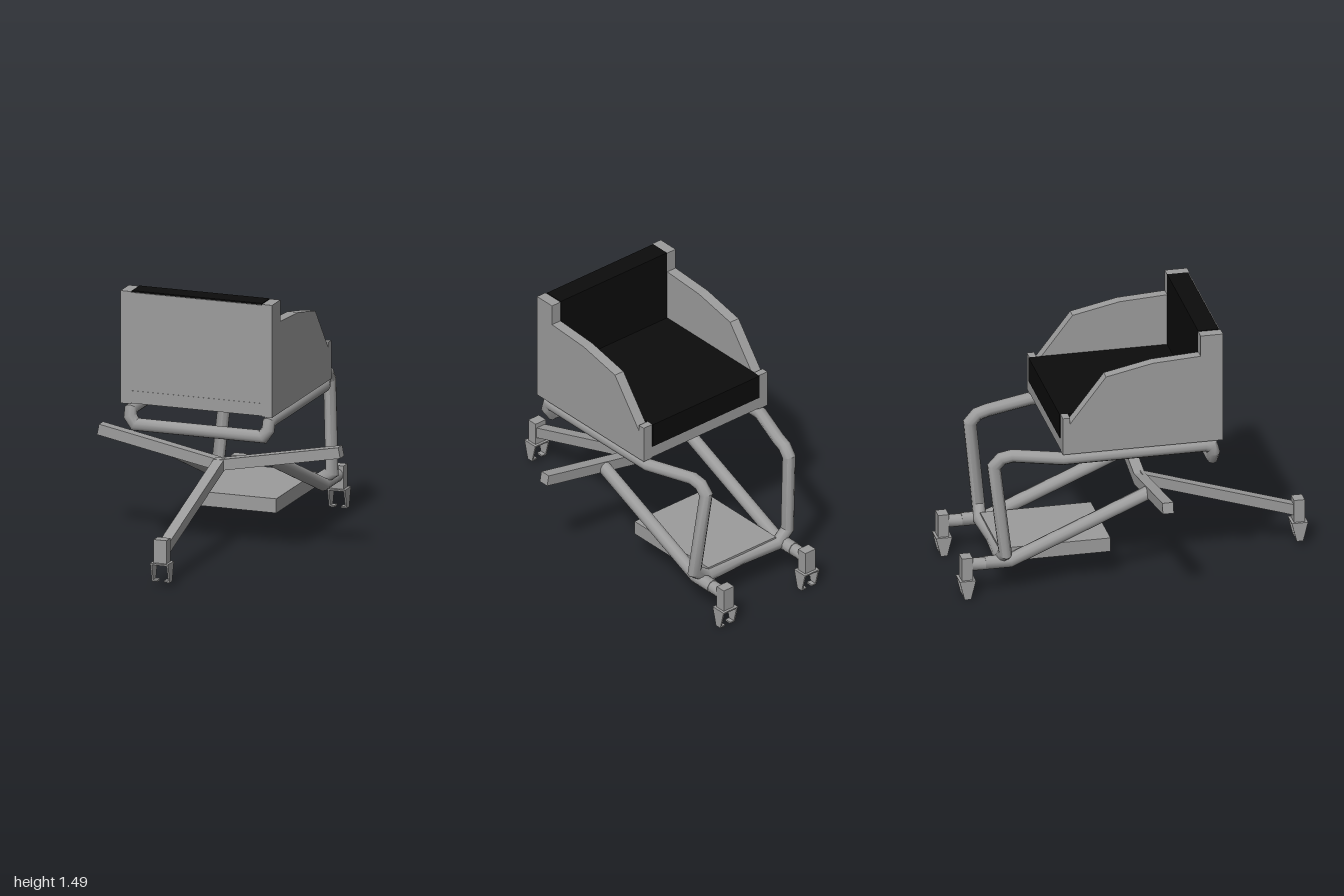
import * as THREE from 'three';
import { toCreasedNormals } from 'three/addons/utils/BufferGeometryUtils.js';

const V = (x, y, z) => new THREE.Vector3(x, y, z);

// Mitred bar along a polyline; sides = 4 gives a square bar, more gives a pipe
function sweep(pts, radius, sides, closed = false) {
  const n = pts.length, dir = (i) => pts[(i + 1) % n].clone().sub(pts[i % n]).normalize();
  const d0 = dir(0);
  const up = Math.abs(d0.y) > 0.9 ? V(0, 0, 1) : V(0, 1, 0);
  const a = V(0, 0, 0).crossVectors(up, d0).normalize();
  const b = V(0, 0, 0).crossVectors(d0, a);
  let ring = [];
  for (let s = 0; s < sides; s++) {
    const t = ((s + 0.5) / sides) * Math.PI * 2;
    const p = pts[0].clone().addScaledVector(a, Math.cos(t) * radius).addScaledVector(b, Math.sin(t) * radius);
    ring.push(p);
  }
  const pos = [], idx = [];
  if (closed) {
    ring = ring.map((p) => p);
  }
  ring.forEach((p) => pos.push(p.x, p.y, p.z));
  const last = closed ? n : n - 1;
  for (let i = 1; i <= last; i++) {
    const P = pts[i % n], d = dir(i - 1);
    const nrm = i === last ? d.clone() : d.clone().add(dir(i)).normalize();
    ring = ring.map((p) => p.clone().addScaledVector(d, P.clone().sub(p).dot(nrm) / d.dot(nrm)));
    ring.forEach((p) => pos.push(p.x, p.y, p.z));
    for (let s = 0; s < sides; s++) {
      const q = (s + 1) % sides, r0 = (i - 1) * sides, r1 = i * sides;
      idx.push(r0 + s, r0 + q, r1 + q, r0 + s, r1 + q, r1 + s);
    }
  }
  if (!closed) {
    const e = last * sides;
    for (let s = 1; s < sides - 1; s++) idx.push(0, s + 1, s, e, e + s, e + s + 1);
  }
  const g = new THREE.BufferGeometry();
  g.setAttribute('position', new THREE.Float32BufferAttribute(pos, 3));
  g.setIndex(idx);
  return toCreasedNormals(g, 0.8);
}

const shapeOf = (pts) => new THREE.Shape(pts.map(([x, y]) => new THREE.Vector2(x, y)));

// Open-bottomed clamp, tapering in depth toward the ground
function clampGeometry() {
  const g = new THREE.ExtrudeGeometry(shapeOf([
    [-0.052, 0.108], [-0.052, 0], [-0.018, 0], [-0.018, 0.01], [-0.043, 0.01], [-0.043, 0.098],
    [0.043, 0.098], [0.043, 0.01], [0.018, 0.01], [0.018, 0], [0.052, 0], [0.052, 0.108],
  ]), { depth: 0.09, bevelEnabled: false });
  g.translate(0, 0, -0.045);
  const p = g.attributes.position;
  for (let i = 0; i < p.count; i++) p.setZ(i, p.getZ(i) * (0.4 + 0.6 * (p.getY(i) / 0.108)));
  g.computeVertexNormals();
  return g;
}

export function createModel() {
  const group = new THREE.Group();
  const grey = new THREE.MeshStandardMaterial({ color: 0x9c9c9c });
  grey.name = 'greyMetal';
  const black = new THREE.MeshStandardMaterial({ color: 0x0c0c0c });
  black.name = 'blackPadding';

  const add = (name, geo, mat = grey) => {
    const m = new THREE.Mesh(geo, mat);
    m.name = name;
    group.add(m);
    return m;
  };
  // Box given by its min and max corners
  const box = (name, x0, x1, y0, y1, z0, z1, mat) =>
    add(name, new THREE.BoxGeometry(x1 - x0, y1 - y0, z1 - z0), mat)
      .position.set((x0 + x1) / 2, (y0 + y1) / 2, (z0 + z1) / 2);

  // Seat shell and padding
  box('seatPan', -0.38, 0.38, 0.86, 0.93, -0.45, 0.44);
  box('backPanel', -0.38, 0.38, 0.93, 1.48, 0.43, 0.438);
  box('seatCushion', -0.38, 0.38, 0.93, 1.07, -0.455, 0.32, black);
  box('backCushion', -0.378, 0.378, 0.93, 1.488, 0.315, 0.43, black);
  const side = shapeOf([
    [0.44, 0.855], [0.44, 1.485], [0.315, 1.485], [0.315, 1.365], [0.05, 1.35], [-0.21, 1.295],
    [-0.41, 1.035], [-0.41, 1.07], [-0.45, 1.07], [-0.45, 0.855],
  ]);
  for (const x of [0.44, -0.38]) {
    const g = new THREE.ExtrudeGeometry(side, { depth: 0.06, bevelEnabled: false });
    g.rotateY(-Math.PI / 2);
    add('sidePanel', g).position.x = x;
  }

  // One continuous bent pipe: front bar, side rails, rear posts, foot bar
  const half = [
    V(0.37, 0.732, 0.395), V(0.40, 0.775, 0.395), V(0.40, 0.81, 0.385), V(0.40, 0.815, 0.35),
    V(0.40, 0.815, -0.44), V(0.305, 0.815, -0.70), V(0.298, 0.80, -0.76), V(0.295, 0.755, -0.80),
    V(0.33, 0.25, -0.745), V(0.25, 0.195, -0.755),
  ];
  const mirrored = half.map((p) => V(-p.x, p.y, p.z)).reverse();
  add('tubeFrame', sweep([V(0, 0.732, 0.395), ...half, V(0, 0.195, -0.742), ...mirrored], 0.036, 10, true));

  // Crossbar wings and front leg
  for (const s of [1, -1]) add('wing', sweep([V(0, 0.465, 0.075), V(s * 0.7, 0.6, 0.075)], 0.043, 4));
  add('frontLeg', sweep([V(0, 0.475, 0.075), V(0, 0.2, 0.94)], 0.042, 4));

  // Lower rails running to the rear feet
  for (const s of [1, -1]) {
    const x = s * 0.29;
    add('lowerRail', sweep([V(x, 0.515, 0.06), V(x, 0.187, -0.71), V(x, 0.187, -0.85)], 0.038, 10));
    add('rearFootBar', sweep([V(x, 0.185, -0.84), V(x, 0.185, -0.95)], 0.036, 10));
  }
  box('footPlate', -0.24, 0.24, 0.16, 0.24, -0.755, -0.14);

  // Feet: a short post above an open clamp
  const clamp = clampGeometry();
  for (const [x, y, z] of [[0, 0.025, 0.955], [0.29, 0, -0.955], [-0.29, 0, -0.955]]) {
    box('footPost', x - 0.037, x + 0.037, y + 0.105, y + 0.238, z - 0.03, z + 0.03);
    add('footClamp', clamp).position.set(x, y, z);
  }
  return group;
}
